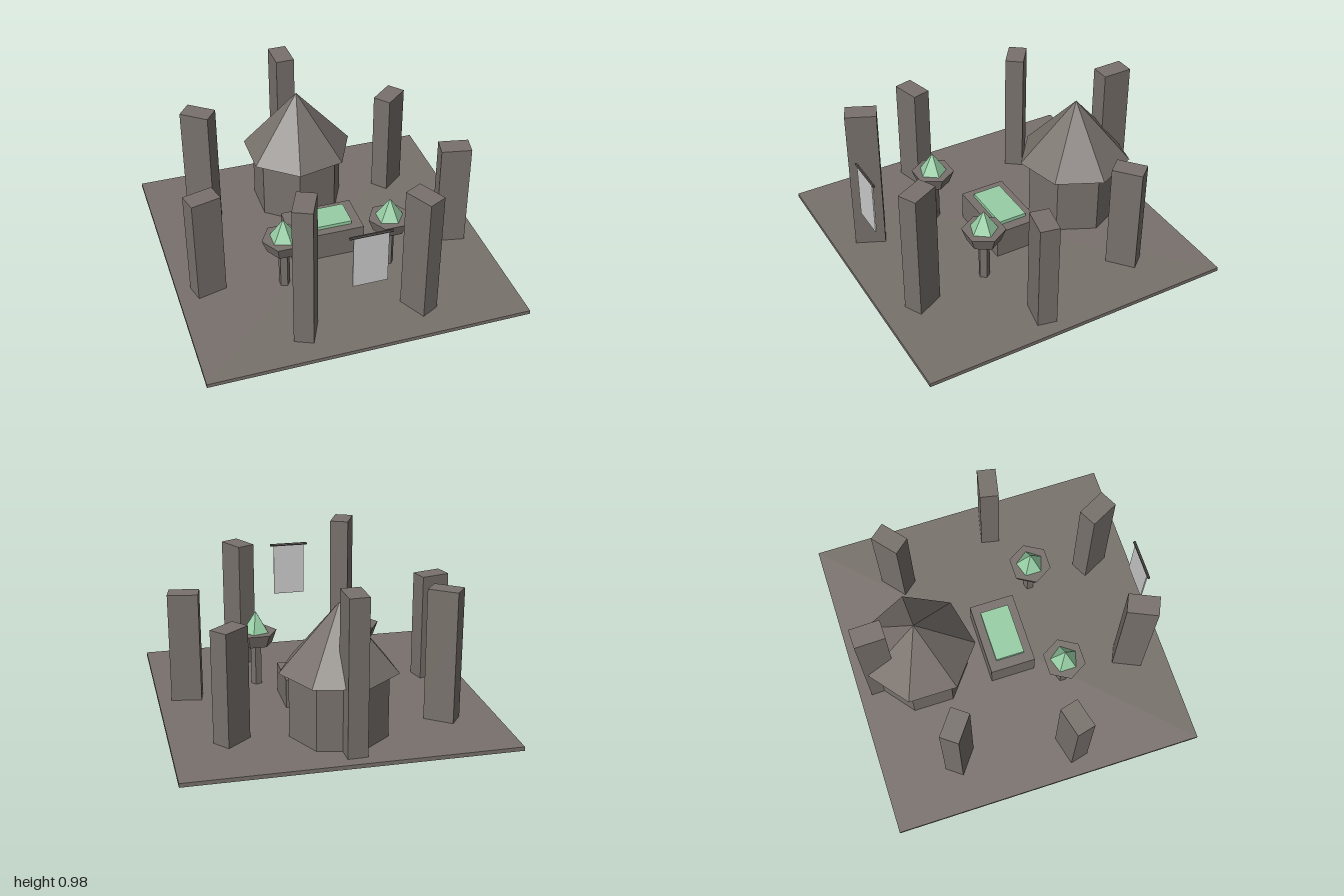
import * as THREE from 'three';

export function createModel() {
  const model = new THREE.Group();
  model.name = 'stoneCircleShrine';

  const material = (name, color) => {
    const m = new THREE.MeshStandardMaterial({ color });
    m.name = name;
    return m;
  };
  const stone = material('stone', 0x78716c);
  const green = material('paleGreen', 0x97cfa5);
  const cloth = material('paleCloth', 0xcccccc);
  const dark = material('darkRod', 0x524e4c);

  // Adds a mesh with faceted normals
  const add = (name, geometry, mat, x, y, z, parent = model) => {
    const faceted = geometry.index ? geometry.toNonIndexed() : geometry;
    faceted.computeVertexNormals();
    const mesh = new THREE.Mesh(faceted, mat);
    mesh.name = name;
    mesh.position.set(x, y, z);
    parent.add(mesh);
    return mesh;
  };
  const box = (w, h, d) => new THREE.BoxGeometry(w, h, d);
  // Prism or cone with a corner pointing along +x
  const prism = (top, bottom, h, sides) =>
    new THREE.CylinderGeometry(top, bottom, h, sides).rotateY(Math.PI / 2);

  // Ground slab
  const floor = 0.025;
  add('ground', box(2, floor, 2), stone, 0, floor / 2, 0);

  // Ring of seven standing stones, long side pointing outward
  const tops = [0.98, 0.725, 0.725, 0.855, 0.98, 0.725, 0.855];
  tops.forEach((top, i) => {
    const angle = -1.595 + (i * Math.PI * 2) / tops.length;
    const h = top - floor;
    const pillar = add('standingStone', box(0.19, h, 0.12), stone,
      0.83 * Math.cos(angle), floor + h / 2, 0.83 * Math.sin(angle));
    pillar.rotation.y = -angle;
  });

  // Seven-sided hut
  const hut = new THREE.Group();
  hut.name = 'hut';
  hut.position.z = -0.555;
  model.add(hut);
  add('hutWalls', prism(0.3, 0.3, 0.405, 7), stone, 0, 0.2275, 0, hut);
  add('hutRoof', new THREE.ConeGeometry(0.36, 0.41, 7).rotateY(Math.PI / 2), stone, 0, 0.635, 0, hut);

  // Altar with green top
  add('altar', box(0.467, 0.187, 0.292), stone, 0, 0.1185, -0.002);
  add('altarTop', box(0.337, 0.024, 0.187), green, 0, 0.223, -0.002);

  // Pair of fire bowls
  for (const side of [-1, 1]) {
    const brazier = new THREE.Group();
    brazier.name = side > 0 ? 'leftBrazier' : 'rightBrazier';
    brazier.position.set(side * 0.341, 0, 0.298);
    model.add(brazier);
    add('post', prism(0.036, 0.036, 0.277, 5), stone, 0, 0.1635, 0, brazier);
    add('bowl', prism(0.136, 0.105, 0.083, 6), stone, 0, 0.3425, 0, brazier);
    add('flame', new THREE.ConeGeometry(0.089, 0.136, 5).rotateY(Math.PI / 2), green, 0, 0.452, 0, brazier);
  }

  // Hanging banner
  add('bannerCloth', box(0.21, 0.345, 0.009), cloth, 0, 0.6025, 0.893);
  add('bannerRod', new THREE.CylinderGeometry(0.009, 0.009, 0.256, 6).rotateZ(Math.PI / 2),
    dark, 0, 0.779, 0.893);

  return model;
}
